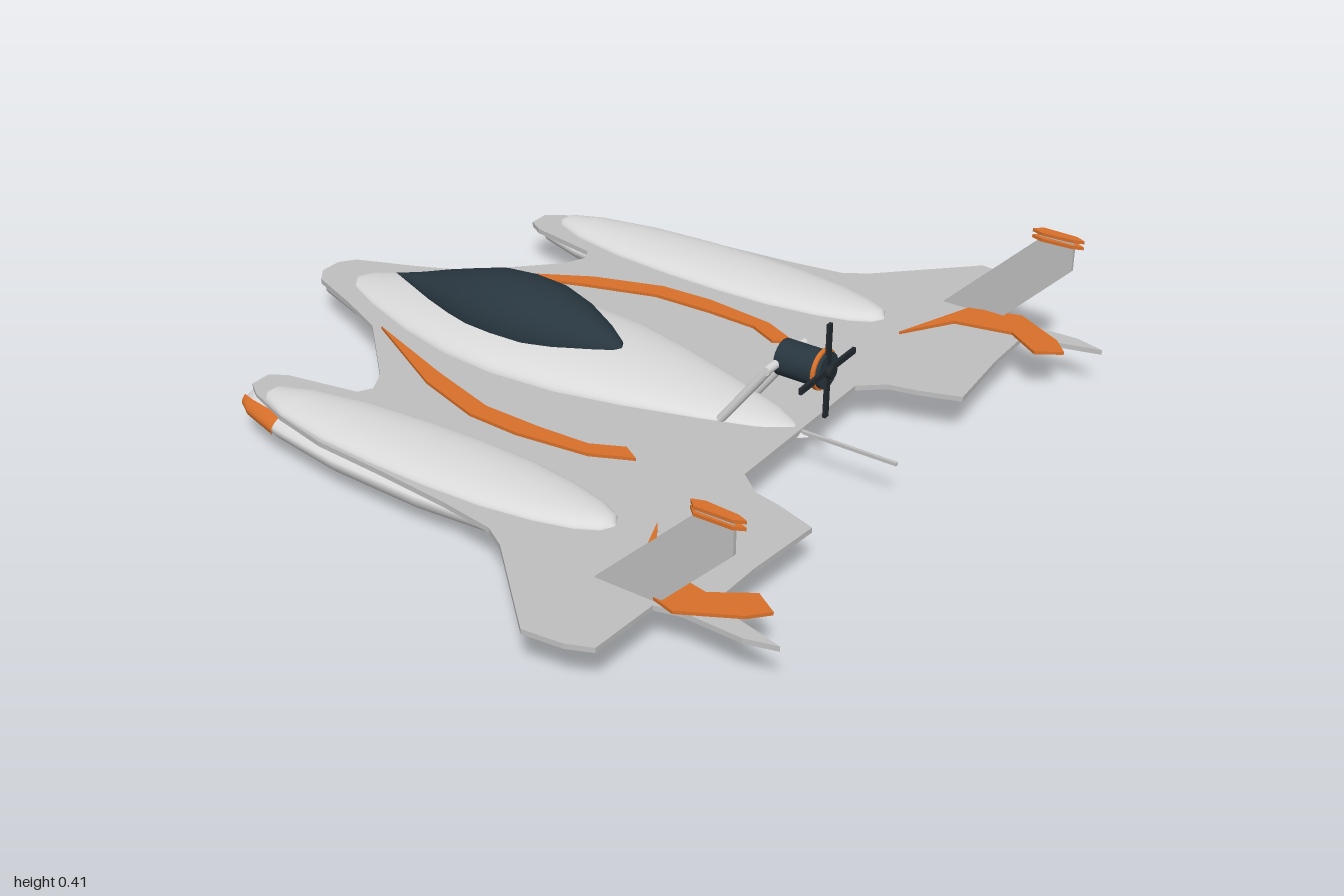
import * as THREE from 'three';

const mat = (name, color, side = THREE.FrontSide) => {
  const m = new THREE.MeshStandardMaterial({ color, side });
  m.name = name;
  return m;
};

export function createModel() {
  const model = new THREE.Group();
  const hullGrey = mat('hull grey', 0xdadada, THREE.DoubleSide);
  const wingGrey = mat('wing grey', 0xc0c0c0);
  const orange = mat('trim orange', 0xd8702a, THREE.DoubleSide);
  const glass = mat('canopy slate', 0x28363f, THREE.DoubleSide);
  const black = mat('carbon black', 0x22292e);

  const add = (name, geo, material, parent = model) => {
    const mesh = new THREE.Mesh(geo, material);
    mesh.name = name;
    parent.add(mesh);
    return mesh;
  };

  // Flat plate from [x, z] points, with its top at yTop
  const plate = (pts, yTop, t) => {
    const shape = new THREE.Shape(pts.map(([x, z]) => new THREE.Vector2(x, z)));
    return new THREE.ExtrudeGeometry(shape, { depth: t, bevelEnabled: false })
      .rotateX(Math.PI / 2).translate(0, yTop, 0);
  };
  const flip = (pts, s) => pts.map(([x, z]) => [x, z * s]);

  // Lofted body: stations [x, half width, top, bottom] around height mid
  const loft = (stations, mid, zc = 0, a0 = 0, a1 = Math.PI * 2, n = 28) => {
    const full = a1 - a0 > 6.28, cols = full ? n : n + 1;
    const pos = [], idx = [];
    stations.forEach(([x, w, top, bot], i) => {
      for (let j = 0; j < cols; j++) {
        const a = a0 + (a1 - a0) * j / n, s = Math.sin(a);
        pos.push(x, mid + s * (s > 0 ? top - mid : mid - bot), zc + w * Math.cos(a));
        if (i === 0 || j === n) continue;
        const k = (j + 1) % cols, p = (i - 1) * cols, q = i * cols;
        idx.push(p + j, q + j, p + k, q + j, q + k, p + k);
      }
    });
    const g = new THREE.BufferGeometry();
    g.setAttribute('position', new THREE.Float32BufferAttribute(pos, 3));
    g.setIndex(idx);
    g.computeVertexNormals();
    return g;
  };

  // Wing plate, mirrored about the centre line
  const half = [[-0.93, 0.03], [-0.9, 0.07], [-0.75, 0.13], [-0.62, 0.19], [-0.53, 0.28],
    [-0.44, 0.37], [-0.41, 0.43], [-0.43, 0.465], [-0.62, 0.5], [-0.66, 0.525], [-0.66, 0.58],
    [-0.62, 0.61], [-0.5, 0.655], [-0.35, 0.69], [-0.15, 0.705], [0.05, 0.725], [0.19, 0.747],
    [0.25, 0.785], [0.47, 1], [0.57, 0.99], [0.63, 0.965], [0.64, 0.78], [0.7, 0.765],
    [0.85, 0.77], [0.925, 0.75], [0.85, 0.73], [0.735, 0.7], [0.737, 0.55], [0.755, 0.345],
    [0.65, 0.31], [0.58, 0.295], [0.52, 0.245], [0.52, 0.1]];
  add('wingPlate', plate([...half, ...flip(half, -1).reverse()], 0.118, 0.013), wingGrey);

  // Central hull below and domed deck above the plate
  add('lowerHull', loft([[-0.93, 0, 0.1, 0.1], [-0.93, 0.03, 0.115, 0.075], [-0.88, 0.075, 0.116, 0.063],
    [-0.7, 0.14, 0.116, 0.045], [-0.45, 0.19, 0.117, 0.031], [-0.2, 0.21, 0.117, 0.025],
    [0.05, 0.185, 0.117, 0.031], [0.25, 0.13, 0.117, 0.05], [0.4, 0.075, 0.115, 0.075],
    [0.52, 0.015, 0.11, 0.1], [0.54, 0, 0.1, 0.1]], 0.1), hullGrey);
  add('upperDeck', loft([[-0.84, 0, 0.115, 0], [-0.8, 0.05, 0.126, 0], [-0.7, 0.1, 0.142, 0],
    [-0.54, 0.16, 0.16, 0], [-0.38, 0.198, 0.172, 0], [-0.23, 0.21, 0.176, 0], [-0.05, 0.195, 0.173, 0],
    [0.12, 0.155, 0.161, 0], [0.3, 0.1, 0.144, 0], [0.43, 0.055, 0.13, 0], [0.52, 0, 0.115, 0]],
  0.115, 0, 0, Math.PI), hullGrey);

  // Canopy with a flat underside
  const canopy = [[-0.7, 0, 0.165], [-0.62, 0.033, 0.188], [-0.54, 0.066, 0.215], [-0.45, 0.097, 0.242],
    [-0.38, 0.115, 0.262], [-0.3, 0.12, 0.27], [-0.21, 0.116, 0.266], [-0.13, 0.092, 0.247],
    [-0.05, 0.055, 0.212], [0, 0.022, 0.185], [0.012, 0, 0.167]];
  add('canopy', loft(canopy.map(([x, w, t]) => [x, w, t, 0.165]), 0.166), glass);

  add('tailSpike', new THREE.BoxGeometry(0.25, 0.008, 0.008).translate(0.645, 0.11, 0), wingGrey);

  const podHull = [[-0.655, 0, 0.085, 0.085], [-0.655, 0.03, 0.105, 0.07], [-0.62, 0.055, 0.112, 0.058],
    [-0.5, 0.092, 0.115, 0.042], [-0.3, 0.122, 0.117, 0.027], [-0.05, 0.13, 0.117, 0.02],
    [0.15, 0.118, 0.117, 0.026], [0.3, 0.088, 0.116, 0.043], [0.4, 0.05, 0.115, 0.065],
    [0.46, 0, 0.085, 0.085]];
  const podDeck = [[-0.61, 0], [-0.58, 0.035], [-0.5, 0.067], [-0.35, 0.096], [-0.18, 0.109],
    [-0.03, 0.112], [0.12, 0.106], [0.25, 0.086], [0.34, 0.061], [0.39, 0.034], [0.41, 0]];
  const stripe = [[-0.59, 0.19], [-0.32, 0.34], [-0.14, 0.4], [0, 0.407], [0.19, 0.386], [0.29, 0.34],
    [0.245, 0.312], [0.165, 0.35], [0.03, 0.355], [-0.13, 0.35], [-0.32, 0.29]];
  const tailTrim = [[0.48, 0.53], [0.56, 0.745], [0.69, 0.785], [0.755, 0.75], [0.82, 0.715],
    [0.86, 0.67], [0.8, 0.63], [0.71, 0.69], [0.565, 0.66]];
  const capTrim = [[0.71, 0.755], [0.74, 0.745], [0.82, 0.75], [0.845, 0.76], [0.82, 0.773], [0.73, 0.775]];

  for (const s of [1, -1]) {
    const side = new THREE.Group();
    side.name = s > 0 ? 'frontSide' : 'backSide';
    model.add(side);
    const zc = s * 0.585;

    // Float pod, its deck, nose trim and skid
    add('podHull', loft(podHull, 0.085, zc), hullGrey, side);
    add('podDeck', loft(podDeck.map(([x, w]) => [x, w, 0.115 + 0.035 * Math.sqrt(w / 0.112), 0]),
      0.115, zc, 0, Math.PI), hullGrey, side);
    const nose = [[-0.66, 0.035, 0.107, 0.068], [-0.62, 0.061, 0.114, 0.056], [-0.51, 0.094, 0.117, 0.042]];
    const c = s > 0 ? 0 : Math.PI;
    add('podNoseTrim', loft(nose, 0.085, zc, c - (s > 0 ? 0.3 : 0.9), c + (s > 0 ? 0.9 : 0.3), 8), orange, side);
    add('podSkid', new THREE.BoxGeometry(0.68, 0.026, 0.04).translate(-0.09, 0.013, zc), black, side);

    // Painted trim plates
    add('deckStripe', plate(flip(stripe, s), 0.126, 0.008), orange, side);
    add('tailTrim', plate(flip(tailTrim, s), 0.128, 0.008), orange, side);

    // Swept tail fin with cap
    const fin = new THREE.Shape([[0.48, 0.115], [0.735, 0.37], [0.82, 0.37], [0.82, 0.3], [0.64, 0.115]]
      .map(([x, y]) => new THREE.Vector2(x, y)));
    add('tailFin', new THREE.ExtrudeGeometry(fin, { depth: 0.01, bevelEnabled: false })
      .translate(0, 0, s * 0.762 - 0.005), wingGrey, side);
    for (const y of [0.372, 0.388]) add('finCap', plate(flip(capTrim, s), y, 0.008), orange, side);
    add('finCapCore', new THREE.BoxGeometry(0.09, 0.02, 0.01).translate(0.775, 0.375, s * 0.762), wingGrey, side);

    // Engine strut
    const strut = new THREE.LineCurve3(new THREE.Vector3(0.345, 0.12, s * 0.075), new THREE.Vector3(0.47, 0.29, s * 0.075));
    add('engineStrut', new THREE.TubeGeometry(strut, 1, 0.011, 10), hullGrey, side);
  }

  // Engine: cross bar, motor, ring and four-bladed propeller
  const engine = new THREE.Group();
  engine.name = 'engine';
  engine.position.set(0, 0.29, 0);
  model.add(engine);
  add('crossBar', new THREE.CylinderGeometry(0.011, 0.011, 0.17, 10).rotateX(Math.PI / 2).translate(0.468, 0, 0), hullGrey, engine);
  add('motor', new THREE.CylinderGeometry(0.044, 0.044, 0.12, 20).rotateZ(Math.PI / 2).translate(0.522, 0, 0), glass, engine);
  add('motorRing', new THREE.CylinderGeometry(0.05, 0.05, 0.01, 20).rotateZ(Math.PI / 2).translate(0.568, 0, 0), orange, engine);
  add('propellerHub', new THREE.CylinderGeometry(0.016, 0.016, 0.022, 12).rotateZ(Math.PI / 2).translate(0.585, 0, 0), black, engine);
  for (let i = 0; i < 4; i++) {
    add('propellerBlade', new THREE.BoxGeometry(0.008, 0.12, 0.015).translate(0.58, 0.06, 0)
      .rotateX(i * Math.PI / 2), black, engine);
  }
  return model;
}
